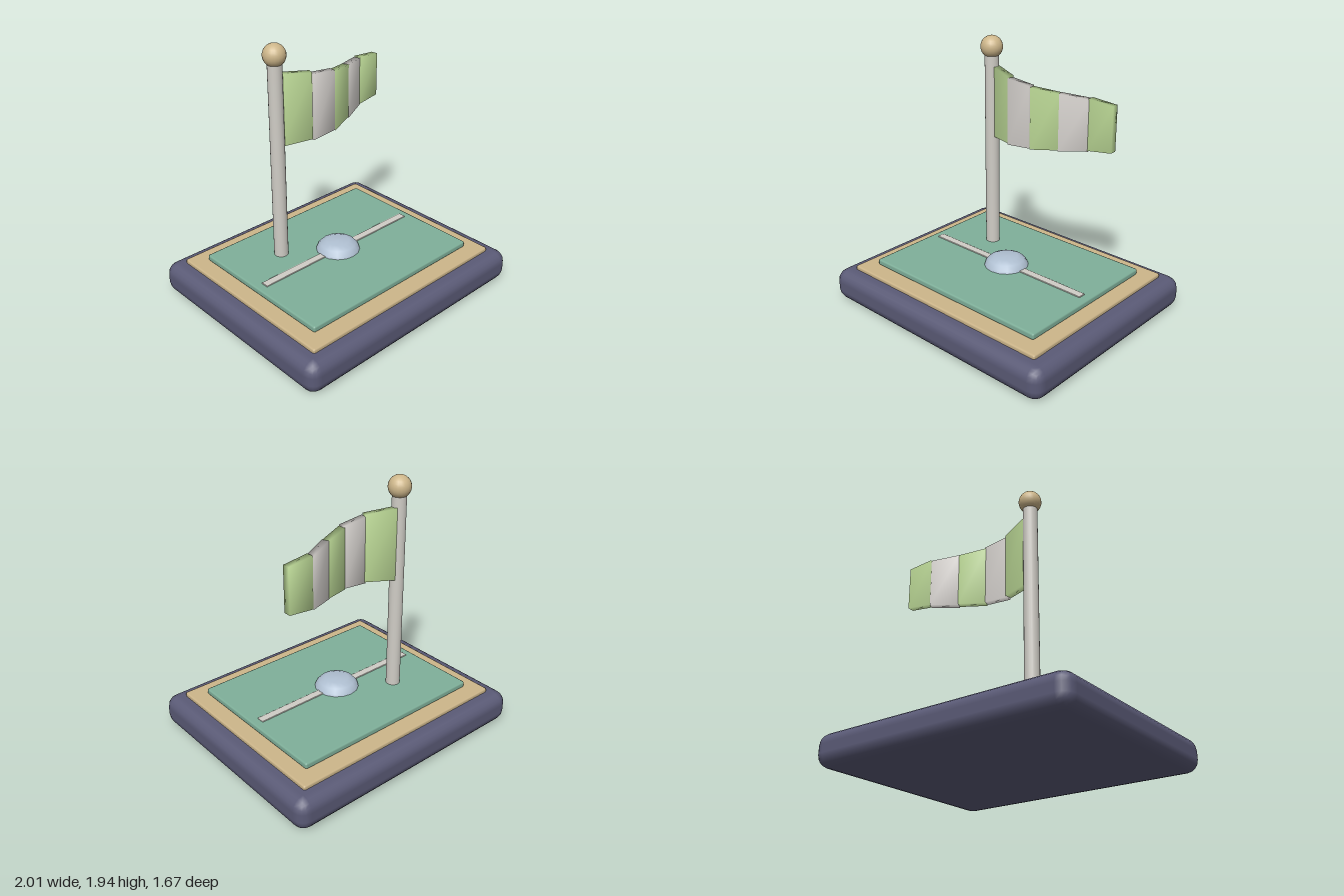
import * as THREE from 'three';
import { RoundedBoxGeometry } from 'three/addons/geometries/RoundedBoxGeometry.js';
import { mergeVertices } from 'three/addons/utils/BufferGeometryUtils.js';

const material = (name, color) => {
  const m = new THREE.MeshStandardMaterial({ color });
  m.name = name;
  return m;
};

export function createModel() {
  const model = new THREE.Group();
  model.name = 'flagOnStand';
  const navy = material('navy', 0x5a5a76);
  const sand = material('sand', 0xcdb68a);
  const green = material('seaGreen', 0x7fb09a);
  const stone = material('stoneGrey', 0xd0cdc6);
  const blue = material('paleBlue', 0xb0c0d2);
  const lime = material('lime', 0xbcd996);
  const cream = material('paleGrey', 0xd8d4d0);

  const add = (name, geometry, mat, x = 0, y = 0, z = 0) => {
    const mesh = new THREE.Mesh(geometry, mat);
    mesh.name = name;
    mesh.position.set(x, y, z);
    model.add(mesh);
    return mesh;
  };
  // Rounded slab between two heights
  const slab = (name, mat, w, d, y0, y1, r, seg) =>
    add(name, new RoundedBoxGeometry(w, y1 - y0, d, seg, r), mat, 0, (y0 + y1) / 2, 0);

  // Stacked base
  slab('base', navy, 2.007, 1.667, -0.003, 0.238, 0.09, 2);
  slab('trimPlate', sand, 1.763, 1.433, 0.215, 0.267, 0.015, 1);
  slab('fieldPlate', green, 1.533, 1.183, 0.265, 0.313, 0.015, 1);
  slab('centreLine', stone, 1.41, 0.06, 0.3, 0.321, 0.005, 1);

  // Flattened dome in the middle
  const domeProfile = [[0.166, 0.305], [0.158, 0.33], [0.132, 0.362], [0.085, 0.384], [0, 0.386]]
    .map(([r, y]) => new THREE.Vector2(r, y));
  add('centreDome', new THREE.LatheGeometry(domeProfile, 16), blue);

  // Pole and finial
  const px = -0.355, pz = -0.235;
  add('pole', new THREE.CylinderGeometry(0.052, 0.053, 1.5, 20), stone, px, 1.06, pz);
  add('finial', new THREE.SphereGeometry(0.082, 20, 14), sand, px, 1.855, pz);

  // Flag panel: a smooth-shaded box whose two ends follow given heights and depths
  // end = [x, z, bottom, top]
  const panel = (a, b) => {
    const box = new THREE.BoxGeometry(1, 1, 1);
    box.deleteAttribute('normal');
    box.deleteAttribute('uv');
    const g = mergeVertices(box);
    const p = g.attributes.position;
    const len = Math.hypot(b[0] - a[0], b[1] - a[1]);
    const nx = -(b[1] - a[1]) / len, nz = (b[0] - a[0]) / len;
    for (let i = 0; i < p.count; i++) {
      const [x, z, low, high] = p.getX(i) < 0 ? a : b;
      const t = p.getZ(i) * 0.052;
      p.setXYZ(i, x + nx * t, p.getY(i) < 0 ? low : high, z + nz * t);
    }
    g.computeVertexNormals();
    return g;
  };
  const panels = [
    [[-0.32, -0.243, 1.183, 1.717], [-0.105, -0.158, 1.203, 1.698]],
    [[-0.106, -0.157, 1.193, 1.685], [0.092, -0.157, 1.212, 1.665]],
    [[0.09, -0.158, 1.205, 1.657], [0.288, -0.228, 1.228, 1.635]],
    [[0.288, -0.226, 1.222, 1.637], [0.486, -0.313, 1.245, 1.615]],
    [[0.484, -0.312, 1.25, 1.622], [0.68, -0.322, 1.275, 1.605]],
  ];
  panels.forEach(([a, b], i) => add(`flagPanel${i + 1}`, panel(a, b), i % 2 ? cream : lime));

  return model;
}
